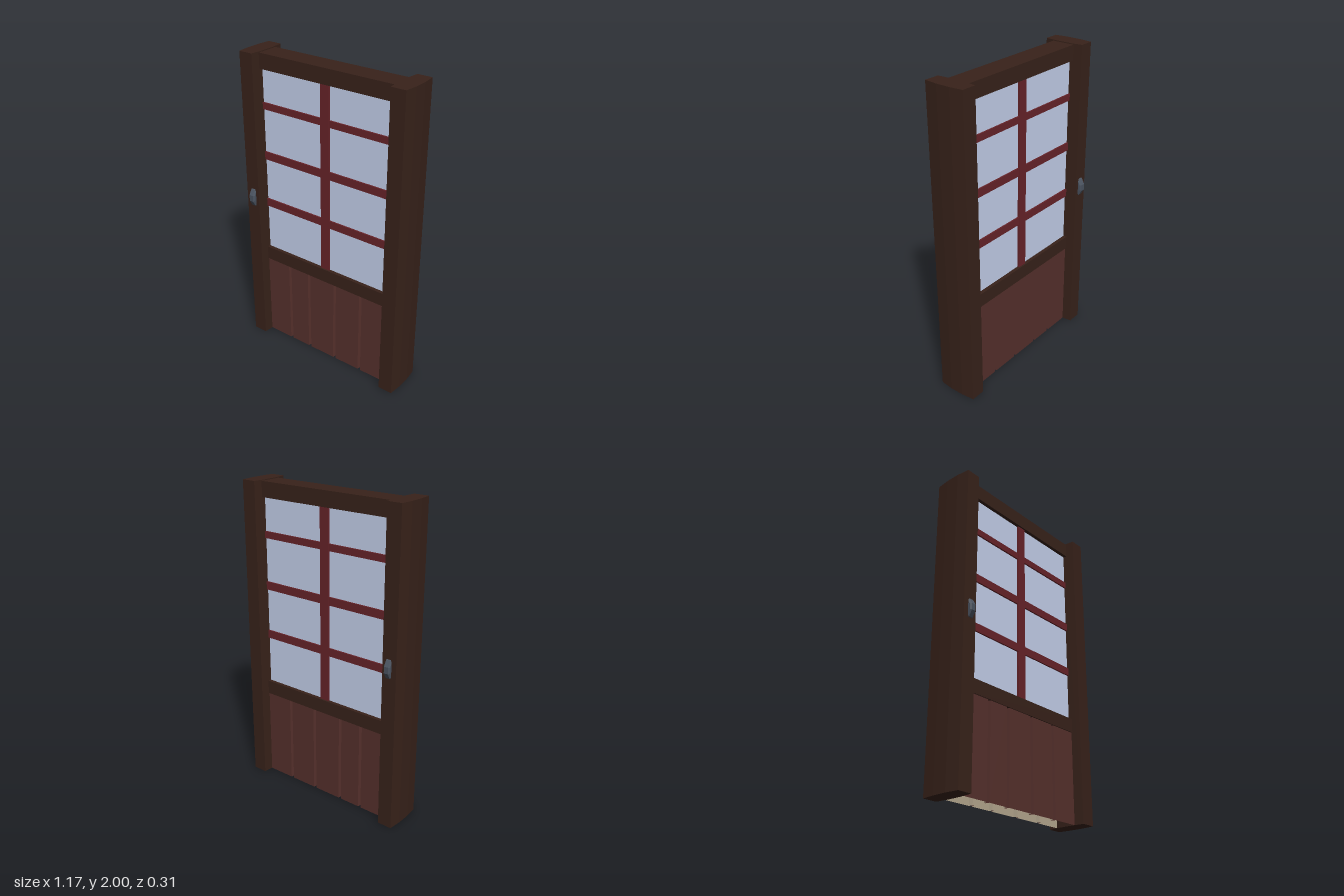
import * as THREE from 'three';

const mat = (color, extra = {}) => new THREE.MeshStandardMaterial({ color, flatShading: true, ...extra });

export function createModel() {
  const door = new THREE.Group();
  door.name = 'door';
  const frameMat = mat(0x38221a);
  const plankMat = mat(0x56302c);
  const plankInsideMat = mat(0xb5a78f, { side: THREE.BackSide });
  const barMat = mat(0x672329);
  const glassMat = mat(0xc5d1ec);
  const handleMat = mat(0x4a5360);

  const add = (name, geometry, material, x = 0, y = 0, z = 0) => {
    const mesh = new THREE.Mesh(geometry, material);
    mesh.name = name;
    mesh.position.set(x, y, z);
    door.add(mesh);
  };
  const bar = (name, material, x0, x1, y0, y1, halfDepth) =>
    add(name, new THREE.BoxGeometry(x1 - x0, y1 - y0, halfDepth * 2), material, (x0 + x1) / 2, (y0 + y1) / 2);

  // Side posts with slightly bowed faces, centred on their own axis
  const section = [[-0.047, -0.13], [0.047, -0.13], [0.056, -0.045], [0.056, 0.045],
    [0.047, 0.13], [-0.047, 0.13], [-0.056, 0.045], [-0.056, -0.045]];
  const postGeometry = new THREE.ExtrudeGeometry(
    new THREE.Shape(section.map(([x, z]) => new THREE.Vector2(x, z))), { depth: 2, bevelEnabled: false });
  postGeometry.rotateX(-Math.PI / 2);
  add('leftPost', postGeometry, frameMat, 0.527);
  add('rightPost', postGeometry, frameMat, -0.527);

  // Rails
  bar('topRail', frameMat, -0.476, 0.476, 1.897, 1.994, 0.073);
  bar('middleRail', frameMat, -0.476, 0.476, 0.585, 0.675, 0.073);

  // Thick window pane and its glazing bars
  bar('glass', glassMat, -0.475, 0.475, 0.67, 1.9, 0.05);
  bar('verticalBar', barMat, -0.031, 0.031, 0.675, 1.897, 0.063);
  for (const [y0, y1] of [[0.981, 1.033], [1.31, 1.362], [1.643, 1.686]])
    bar('horizontalBar', barMat, -0.475, 0.475, y0, y1, 0.06);

  // Lower panel: hollow, open below, with grooves between the planks
  const depth = 0.067;
  const face = [[-0.475, depth]];
  for (const x of [-0.288, -0.129, 0.079, 0.28])
    face.push([x - 0.01, depth], [x - 0.005, 0.042], [x + 0.005, 0.042], [x + 0.01, depth]);
  face.push([0.475, depth]);
  const positions = [];
  const h = 0.59;
  for (let i = 0; i < face.length - 1; i++) {
    const [xa, za] = face[i], [xb, zb] = face[i + 1];
    positions.push(xa, 0, za, xb, 0, zb, xb, h, zb, xa, 0, za, xb, h, zb, xa, h, za);
    positions.push(xb, 0, -zb, xa, 0, -za, xa, h, -za, xb, 0, -zb, xa, h, -za, xb, h, -zb);
  }
  const panel = new THREE.BufferGeometry();
  panel.setAttribute('position', new THREE.Float32BufferAttribute(positions, 3));
  panel.computeVertexNormals();
  add('plankPanel', panel, plankMat);
  add('plankPanelInside', panel, plankInsideMat);

  // Bevelled disc handles, half sunk into both faces of the right post
  const profile = [[0, -0.02], [0.068, -0.02], [0.08, -0.014], [0.08, 0.014], [0.068, 0.02], [0, 0.02]];
  const handleGeometry = new THREE.LatheGeometry(profile.map(([r, x]) => new THREE.Vector2(r, x)), 12, Math.PI / 12);
  handleGeometry.rotateZ(Math.PI / 2);
  add('frontHandle', handleGeometry, handleMat, -0.522, 1.055, 0.078);
  add('backHandle', handleGeometry, handleMat, -0.522, 1.055, -0.078);
  return door;
}
